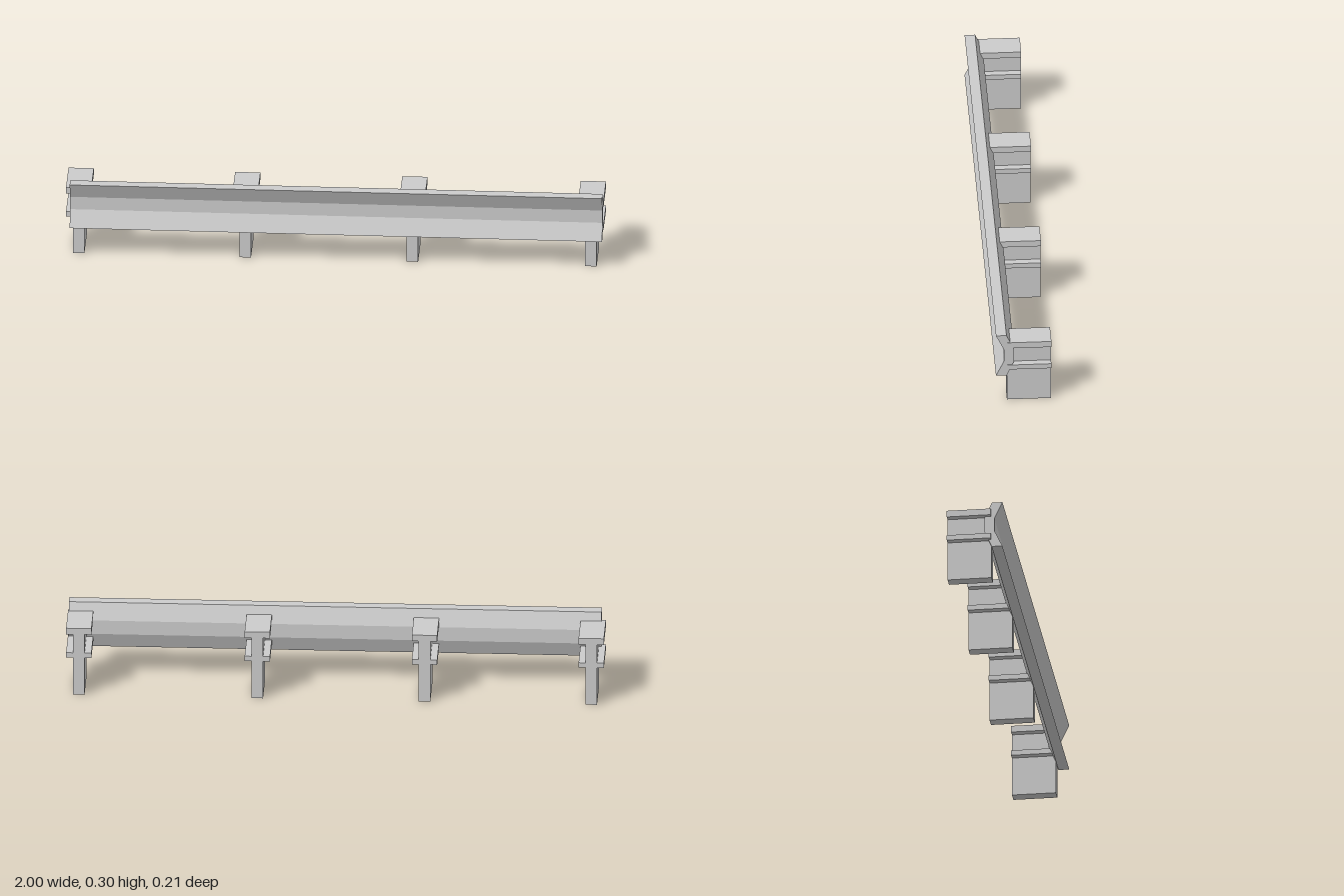
import * as THREE from 'three';

export function createModel() {
  const group = new THREE.Group();
  const material = new THREE.MeshStandardMaterial({ color: 0xcccccc, flatShading: true });

  // Rail: waisted cross-section as [z, y], extruded along x
  const profile = [
    [0.103, 0.302], [0.064, 0.302], [0.036, 0.24], [0.036, 0.185],
    [0.063, 0.123], [0.103, 0.123], [0.073, 0.187], [0.073, 0.238],
  ];
  const left = 0.994, right = -0.984;
  const shape = new THREE.Shape(profile.map(([z, y]) => new THREE.Vector2(-z, y)));
  const railGeometry = new THREE.ExtrudeGeometry(shape, { depth: left - right, bevelEnabled: false });
  railGeometry.rotateY(Math.PI / 2);
  const rail = new THREE.Mesh(railGeometry, material);
  rail.name = 'rail';
  rail.position.x = right;
  group.add(rail);

  // Posts, each with a wide cap and a lower ledge
  const back = -0.103, front = 0.061;
  function addBlock(parent, name, width, bottom, top) {
    const mesh = new THREE.Mesh(new THREE.BoxGeometry(width, top - bottom, front - back), material);
    mesh.name = name;
    mesh.position.set(0, (bottom + top) / 2, (front + back) / 2);
    parent.add(mesh);
  }
  [-0.953, -0.334, 0.287, 0.95].forEach((x, i) => {
    const post = new THREE.Group();
    post.name = `post${i + 1}`;
    post.position.x = x;
    addBlock(post, 'upright', 0.043, 0, 0.25);
    addBlock(post, 'cap', 0.094, 0.246, 0.271);
    addBlock(post, 'ledge', 0.094, 0.151, 0.171);
    group.add(post);
  });

  return group;
}
